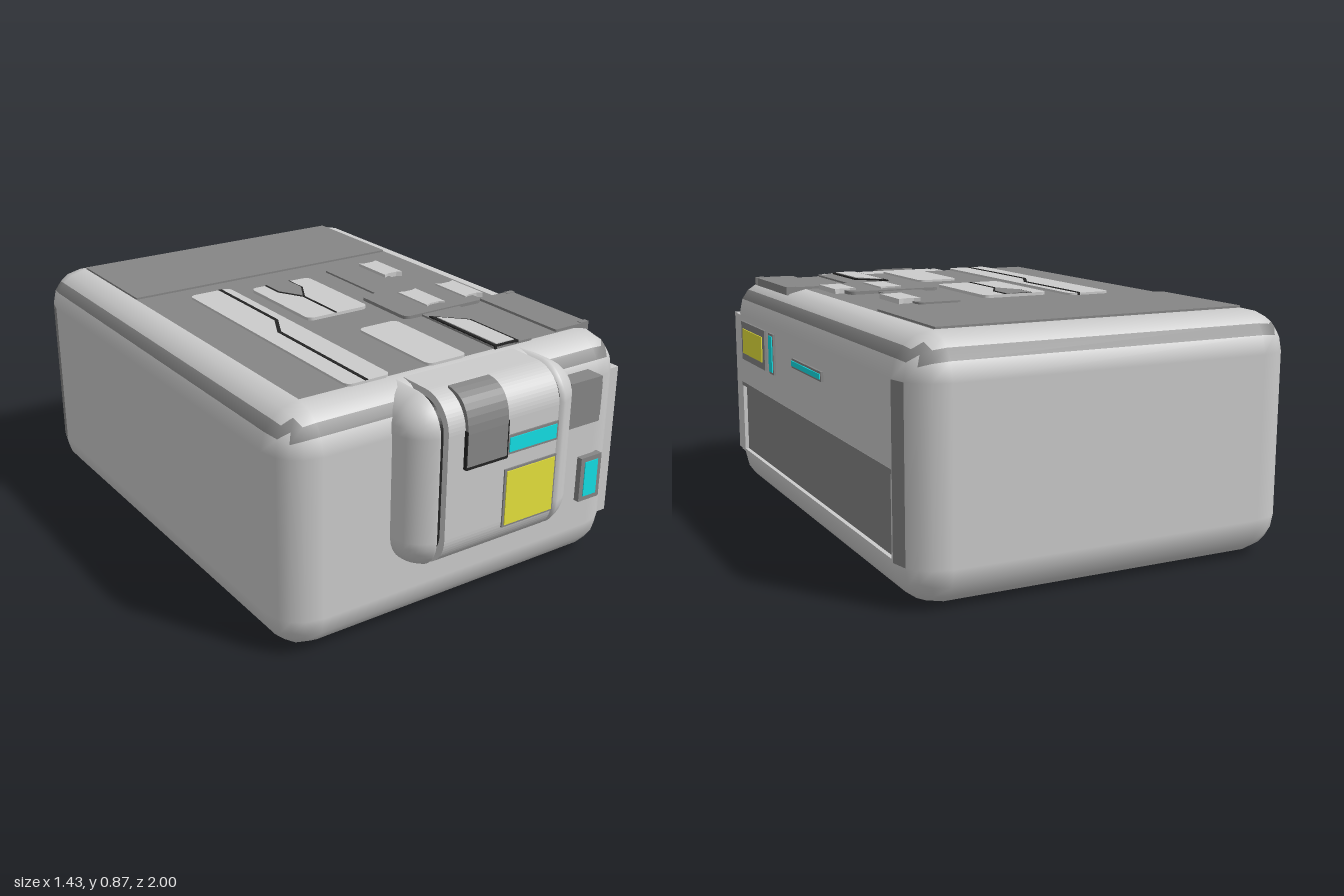
import * as THREE from 'three';
import { RoundedBoxGeometry } from 'three/addons/geometries/RoundedBoxGeometry.js';

const mat = (color) => new THREE.MeshStandardMaterial({ color, side: THREE.DoubleSide });
const GREY = mat(0xcccccc), DARK = mat(0x868686), BLACK = mat(0x242424);
const CYAN = mat(0x14dfe6), YELLOW = mat(0xe6e23c);

export function createModel() {
  const root = new THREE.Group();

  const add = (name, geometry, material) => {
    const mesh = new THREE.Mesh(geometry, material);
    mesh.name = name;
    root.add(mesh);
    return mesh;
  };

  // Box given by its limits on each axis
  const box = (name, material, x0, x1, y0, y1, z0, z1) =>
    add(name, new THREE.BoxGeometry(x1 - x0, y1 - y0, z1 - z0), material)
      .position.set((x0 + x1) / 2, (y0 + y1) / 2, (z0 + z1) / 2);

  const roundedBox = (x0, x1, y0, y1, z0, z1, segments, r) =>
    new RoundedBoxGeometry(x1 - x0, y1 - y0, z1 - z0, segments, r)
      .translate((x0 + x1) / 2, (y0 + y1) / 2, (z0 + z1) / 2);

  // Outline of a rectangle with rounded corners
  const roundedRect = (a0, b0, a1, b1, r) => {
    const s = new THREE.Shape();
    s.absarc(a1 - r, b1 - r, r, 0, Math.PI / 2);
    s.absarc(a0 + r, b1 - r, r, Math.PI / 2, Math.PI);
    s.absarc(a0 + r, b0 + r, r, Math.PI, Math.PI * 1.5);
    s.absarc(a1 - r, b0 + r, r, Math.PI * 1.5, Math.PI * 2);
    s.closePath();
    return s;
  };

  // Flat plate on the lid: shape in (x, -z), raised from the lid up to y1
  const plate = (name, material, shape, y1) =>
    add(name, new THREE.ExtrudeGeometry(shape, { depth: y1 - 0.84, bevelEnabled: false, curveSegments: 4 })
      .rotateX(-Math.PI / 2).translate(0, 0.84, 0), material);
  const lidRect = (name, material, x0, x1, z0, z1, y1, r = 0.025) =>
    plate(name, material, roundedRect(x0, -z1, x1, -z0, r), y1);
  const lidPoly = (name, material, points, y1) =>
    plate(name, material, new THREE.Shape(points.map(([x, z]) => new THREE.Vector2(x, -z))), y1);

  // Profile in (z, y) extruded along x
  const alongX = (name, material, shape, x0, x1) =>
    add(name, new THREE.ExtrudeGeometry(shape, { depth: x1 - x0, bevelEnabled: false, curveSegments: 8 })
      .rotateY(-Math.PI / 2).scale(1, 1, 1).translate(x1, 0, 0), material);

  // Case body, split into light shell and dark trim; the +x flat is left open for the recess
  const shell = roundedBox(-0.72, 0.70, 0, 0.85, -1, 0.865, 2, 0.14);
  const pos = shell.attributes.position, nor = shell.attributes.normal;
  const parts = { light: { p: [], n: [] }, dark: { p: [], n: [] } };
  for (let i = 0; i < pos.count; i += 3) {
    const ids = [i, i + 1, i + 2];
    if (ids.every((k) => nor.getX(k) > 0.999)) continue;
    const cy = ids.reduce((t, k) => t + pos.getY(k), 0) / 3;
    const cz = ids.reduce((t, k) => t + pos.getZ(k), 0) / 3;
    const lid = ids.every((k) => nor.getY(k) > 0.999);
    const topTrim = cy > 0.774 && cy < 0.808;
    const backTrim = cz < -0.865 && cz > -0.922 && cy > 0.14 && cy < 0.71 && ids.every((k) => Math.abs(nor.getX(k)) > 0.8);
    const out = lid || topTrim || backTrim ? parts.dark : parts.light;
    for (const k of ids) {
      out.p.push(pos.getX(k), pos.getY(k), pos.getZ(k));
      out.n.push(nor.getX(k), nor.getY(k), nor.getZ(k));
    }
  }
  for (const [key, material] of [['light', GREY], ['dark', DARK]]) {
    const g = new THREE.BufferGeometry();
    g.setAttribute('position', new THREE.Float32BufferAttribute(parts[key].p, 3));
    g.setAttribute('normal', new THREE.Float32BufferAttribute(parts[key].n, 3));
    add(key === 'light' ? 'caseShell' : 'caseTrim', g, material);
  }

  // Side wall with recessed panel
  box('sideWall', GREY, 0.62, 0.70, 0.425, 0.71, -0.86, 0.7255);
  box('sideRecess', DARK, 0.58, 0.685, 0.14, 0.425, -0.86, 0.7255);
  box('recessLedge', GREY, 0.62, 0.70, 0.14, 0.15, -0.86, 0.7255);
  box('recessLip', DARK, 0.62, 0.702, 0.42, 0.435, -0.86, 0.73);
  box('recessEnd', GREY, 0.62, 0.70, 0.14, 0.425, -0.86, -0.85);
  box('cornerPost', GREY, 0.62, 0.70, 0.14, 0.71, 0.725, 0.775);
  box('cornerPostFront', GREY, 0.62, 0.695, 0.14, 0.71, 0.785, 0.825);

  // Side lights in dark frames
  const sideLight = (name, material, y0, y1, z0, z1, b) => {
    box(name + 'Frame', DARK, 0.66, 0.709, y0, y1, z0, z1);
    box(name, material, 0.66, 0.713, y0 + b, y1 - b, z0 + b, z1 - b);
  };
  sideLight('sideYellowLight', YELLOW, 0.535, 0.69, 0.38, 0.69, 0.028);
  sideLight('sideCyanLight', CYAN, 0.535, 0.69, 0.268, 0.325, 0.009);
  sideLight('sideCyanBar', CYAN, 0.6, 0.635, -0.265, 0.05, 0.008);

  // Front pod: black core, middle section and two rounded end caps
  alongX('podCore', BLACK, roundedRect(0.63, 0.27, 0.96, 0.82, 0.1), -0.25, 0.3);
  alongX('podMiddle', GREY, roundedRect(0.6, 0.24, 0.985, 0.845, 0.12), -0.2, 0.26);
  const cap = (name, x0, x1, lo, hi) => {
    const g = roundedBox(x0, x1, 0.24, 0.845, 0.6, 0.985, 4, 0.12);
    const p = g.attributes.position;
    for (let i = 0; i < p.count; i++) p.setX(i, THREE.MathUtils.clamp(p.getX(i), lo, hi));
    add(name, g, GREY);
  };
  cap('podRightCap', -0.327, 0.03, -1, -0.23);
  cap('podLeftCap', 0.03, 0.385, 0.285, 1);

  // Clip hooked over the top edge of the pod
  const clip = new THREE.Shape();
  clip.moveTo(0.89, 0.8);
  clip.lineTo(0.89, 0.85);
  clip.quadraticCurveTo(0.997, 0.842, 0.998, 0.72);
  clip.lineTo(0.998, 0.6);
  clip.lineTo(0.96, 0.6);
  clip.lineTo(0.96, 0.72);
  clip.closePath();
  alongX('podClip', DARK, clip, -0.133, 0.033);
  box('clipEdge', BLACK, -0.135, 0.035, 0.597, 0.606, 0.96, 0.999);
  for (const x of [-0.136, 0.032]) box('clipSide', BLACK, x, x + 0.004, 0.6, 0.73, 0.96, 0.999);

  // Front lights
  const frontLight = (name, material, x0, x1, y0, y1, z, b) => {
    box(name + 'Frame', DARK, x0, x1, y0, y1, z - 0.06, z);
    box(name, material, x0 + b, x1 - b, y0 + b, y1 - b, z - 0.06, z + 0.003);
  };
  frontLight('podCyanLight', CYAN, 0.04, 0.26, 0.602, 0.67, 0.99, 0.009);
  frontLight('podYellowLight', YELLOW, 0.037, 0.26, 0.338, 0.55, 0.99, 0.008);
  frontLight('frontCyanLight', CYAN, 0.49, 0.587, 0.255, 0.425, 0.887, 0.018);

  // Stepped plug beside the pod
  box('plug', DARK, 0.37, 0.513, 0.583, 0.75, 0.82, 0.927);
  box('plugStep', DARK, 0.51, 0.552, 0.583, 0.705, 0.8, 0.893);

  // Lid panels
  lidRect('lidBackPanel', DARK, -0.58, 0.555, -0.86, -0.4, 0.857, 0.004);
  lidRect('longPanel', GREY, -0.405, -0.235, -0.31, 0.73, 0.858);
  lidPoly('longPanelSeam', BLACK, [[-0.281, -0.31], [-0.269, -0.31], [-0.269, 0.1], [-0.324, 0.21],
    [-0.324, 0.73], [-0.336, 0.73], [-0.336, 0.205], [-0.281, 0.095]], 0.86);
  lidRect('notchedPanel', GREY, -0.175, 0.083, -0.25, 0.155, 0.861);
  lidPoly('notchEdge', BLACK, [[-0.112, -0.25], [-0.002, -0.25], [-0.002, -0.155], [-0.053, -0.06],
    [-0.053, 0.155], [-0.061, 0.155], [-0.061, -0.06], [-0.112, -0.155]], 0.863);
  lidPoly('notch', DARK, [[-0.106, -0.25], [-0.008, -0.25], [-0.008, -0.158], [-0.057, -0.068],
    [-0.106, -0.158]], 0.864);
  lidRect('shortPanel', GREY, -0.085, 0.077, 0.33, 0.73, 0.858);

  // Overlapping dark cover plates with light tabs
  lidRect('coverBack', DARK, 0.195, 0.365, -0.31, 0.08, 0.857);
  lidRect('coverMiddle', DARK, 0.12, 0.477, 0.055, 0.333, 0.862);
  lidRect('coverFront', DARK, 0.195, 0.365, 0.31, 0.73, 0.857, 0.01);
  for (const [x, z] of [[0.38, -0.18], [0.295, 0.195], [0.475, 0.195]]) {
    lidPoly('tab', GREY, [[x - 0.041, z - 0.09], [x - 0.02, z - 0.08], [x + 0.02, z - 0.08], [x + 0.041, z - 0.09],
      [x + 0.041, z + 0.09], [x + 0.02, z + 0.08], [x - 0.02, z + 0.08], [x - 0.041, z + 0.09]], 0.868);
  }
  lidPoly('wedgeEdge', BLACK, [[0.196, 0.37], [0.3, 0.478], [0.3, 0.73], [0.196, 0.73]], 0.862);
  lidPoly('wedge', GREY, [[0.208, 0.4], [0.287, 0.485], [0.287, 0.72], [0.208, 0.72]], 0.865);

  // Flap at the lid edge with a turned-down lip
  lidRect('edgeFlap', DARK, 0.48, 0.63, 0.31, 0.72, 0.859, 0.008);
  box('flapLip', DARK, 0.612, 0.632, 0.825, 0.859, 0.33, 0.7);
  for (const z of [0.31, 0.7]) box('flapHook', DARK, 0.6, 0.636, 0.83, 0.861, z, z + 0.02);

  return root;
}
